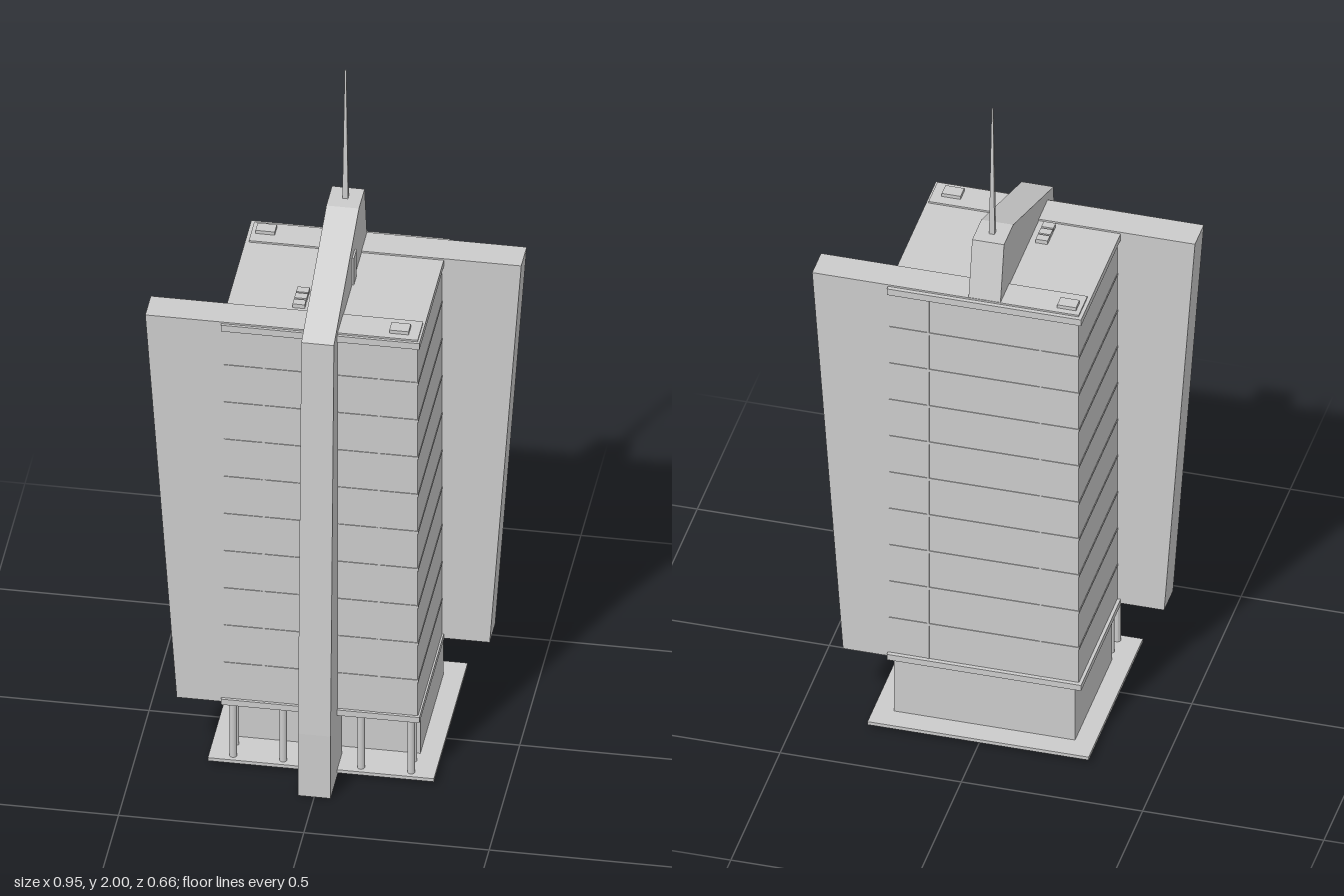
import * as THREE from 'three';

export function createModel() {
  const model = new THREE.Group();
  const grey = new THREE.MeshStandardMaterial({ color: 0xcccccc, flatShading: true });

  function add(name, geometry, parent = model) {
    const mesh = new THREE.Mesh(geometry, grey);
    mesh.name = name;
    parent.add(mesh);
    return mesh;
  }

  // Box given by its minimum and maximum corners
  function box(name, x0, x1, y0, y1, z0, z1, parent) {
    const g = new THREE.BoxGeometry(x1 - x0, y1 - y0, z1 - z0);
    g.translate((x0 + x1) / 2, (y0 + y1) / 2, (z0 + z1) / 2);
    return add(name, g, parent);
  }

  // Flat outline extruded along z, starting at z = 0
  function slab(points, depth) {
    const shape = new THREE.Shape(points.map(([x, y]) => new THREE.Vector2(x, y)));
    return new THREE.ExtrudeGeometry(shape, { depth, bevelEnabled: false });
  }

  function group(name) {
    const g = new THREE.Group();
    g.name = name;
    model.add(g);
    return g;
  }

  // Ground plate and recessed lobby
  box('basePlate', -0.305, 0.305, 0.01, 0.02, -0.33, 0.222);
  box('lobby', -0.25, 0.25, 0.02, 0.2, -0.265, 0.11);

  // Columns under the front overhang
  const columns = group('columns');
  for (const x of [-0.24, -0.105, 0.105, 0.24]) {
    const c = add('column', new THREE.CylinderGeometry(0.01, 0.01, 0.18, 12), columns);
    c.position.set(x, 0.11, 0.2);
  }
  for (const x of [-0.24, 0.24]) {
    const c = add('column', new THREE.CylinderGeometry(0.007, 0.007, 0.18, 12), columns);
    c.position.set(x, 0.11, 0.145);
  }

  // Tower shaft with bottom and top rims
  box('tower', -0.261, 0.261, 0.2, 1.41, -0.264, 0.212);
  box('bottomRim', -0.27, 0.266, 0.195, 0.213, -0.278, 0.222);
  box('roofRim', -0.27, 0.266, 1.4, 1.42, -0.278, 0.222);

  // Floor lines and vertical mullions
  const facade = group('facadeLines');
  for (let i = 1; i < 10; i++) {
    const y = 0.205 + i * 0.12;
    box('floorLine', -0.262, 0.262, y - 0.004, y + 0.004, -0.268, 0.216, facade);
  }
  for (const x of [-0.155, 0.155])
    box('mullion', x - 0.003, x + 0.003, 0.2, 1.41, -0.268, 0.216, facade);

  // Two flared wings, one the half-turn of the other
  const wing = [[0.26, 0.2], [0.26, 1.425], [-0.475, 1.425], [-0.39, 0.2]];
  add('frontWing', slab(wing, 0.09)).position.z = 0.124;
  const backWing = add('backWing', slab(wing, 0.09));
  backWing.rotation.y = Math.PI;
  backWing.position.z = -0.176;

  // Central fin: rises up the front and slopes over the roof
  const finSide = [
    [0.33, 0], [0.33, 0.2], [0.275, 1.425], [-0.135, 1.59], [-0.228, 1.59],
    [-0.27, 1.4], [0.14, 1.4], [0.14, 0],
  ];
  const fin = add('centralFin', slab(finSide.map(([z, y]) => [-z, y]), 0.088));
  fin.rotation.y = Math.PI / 2;
  fin.position.x = -0.044;
  box('roofDoor', 0.04, 0.049, 1.42, 1.505, -0.068, -0.023);

  // Spire
  const spire = add('spire', new THREE.CylinderGeometry(0.003, 0.011, 0.42, 4));
  spire.rotation.y = Math.PI / 4;
  spire.position.set(0, 1.79, -0.183);

  // Rooftop units
  const units = group('roofUnits');
  box('roofUnit', -0.248, -0.196, 1.41, 1.435, -0.248, -0.212, units);
  box('roofUnit', 0.18, 0.232, 1.41, 1.435, 0.155, 0.193, units);
  for (const z of [0.038, 0.067, 0.097])
    box('roofVent', -0.095, -0.062, 1.41, 1.432, z - 0.012, z + 0.012, units);

  return model;
}
